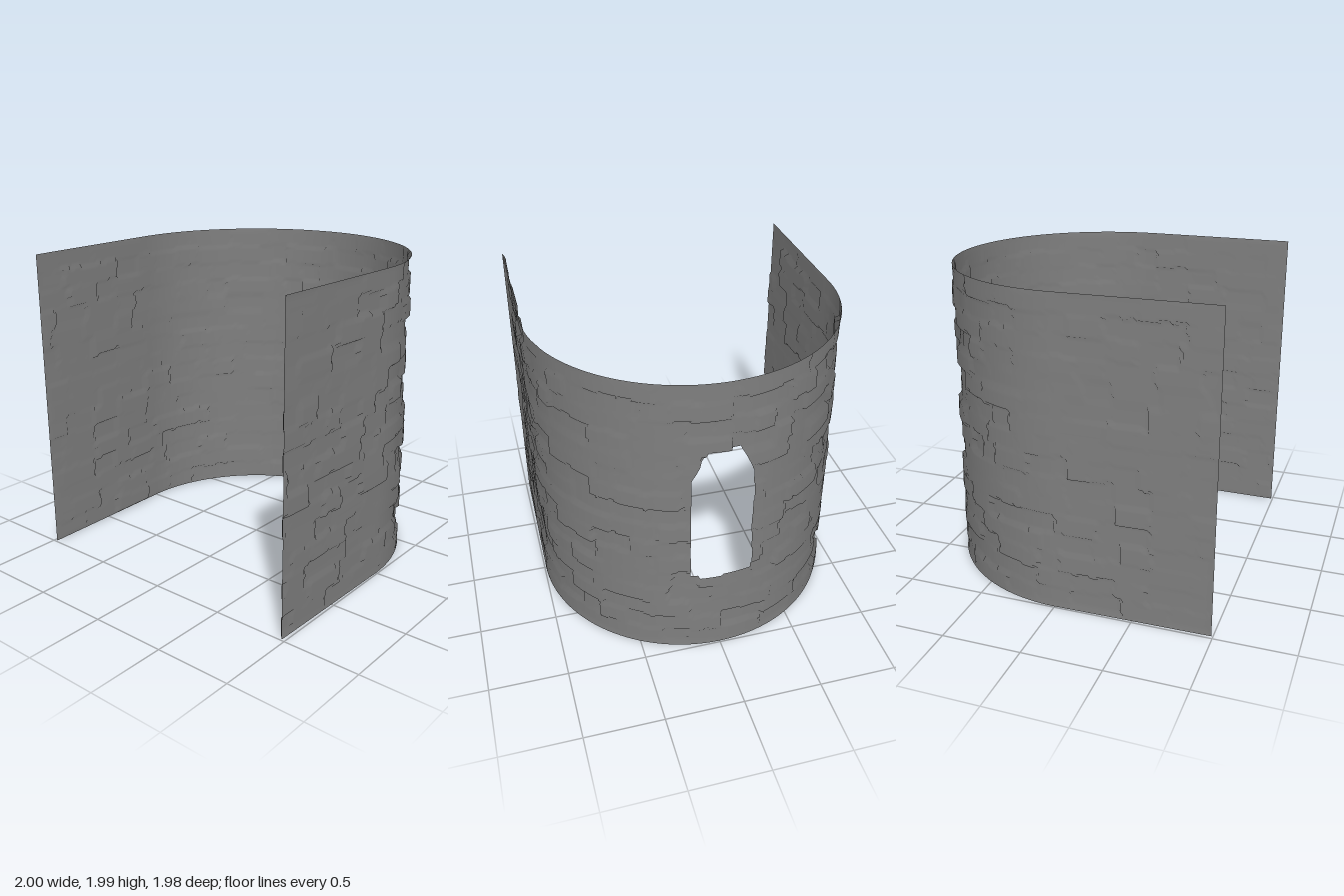
import * as THREE from 'three';

const R = 0.99, DEPTH = 0.99, HEIGHT = 1.99;
const ARC = R * Math.PI / 2, HALF = ARC + DEPTH; // half the unrolled wall length
const WIN = { half: 0.197, topHalf: 0.1, sill: 0.58, spring: 1.33, top: 1.53 };
const COURSES = 16;

// Small seeded generator
function seeded(seed) {
  return () => {
    seed = (seed * 1664525 + 1013904223) % 4294967296;
    return seed / 4294967296;
  };
}

// Grid lines through the given stops: start, [end, steps], ...
function gridLines(start, ...spans) {
  const lines = [start];
  for (const [end, n] of spans) {
    const a = lines[lines.length - 1];
    for (let i = 1; i <= n; i++) lines.push(a + (end - a) * i / n);
  }
  return lines;
}

// Courses of stones with random lengths, projections and tilts
function layStones() {
  const rnd = seeded(7), courses = [];
  for (let c = 0; c < COURSES; c++) {
    const row = [];
    let s = -HALF - rnd() * 0.2;
    while (s < HALF) {
      const width = 0.13 + rnd() * 0.2;
      row.push({ start: s, end: s + width, out: -0.008 + rnd() * 0.038, tilt: (rnd() - 0.5) * 0.02, lift: (rnd() - 0.5) * 0.01 });
      s += width;
    }
    courses.push(row);
  }
  return courses;
}

// How far the stone face stands in from the wall line; fades out at the rims
function relief(courses, s, y) {
  const wobble = 0.006 * Math.sin(s * 17) + 0.004 * Math.sin(s * 41 + 1);
  const c = THREE.MathUtils.clamp(Math.floor((y + wobble) / HEIGHT * COURSES), 0, COURSES - 1);
  const sj = s + 0.006 * Math.sin(y * 60 + c);
  const stone = courses[c].find(k => sj < k.end) || courses[c][courses[c].length - 1];
  const u = (sj - stone.start) / (stone.end - stone.start) - 0.5;
  const v = y / HEIGHT * COURSES - c - 0.5;
  const rim = Math.min(y, HEIGHT - y, HALF - Math.abs(s));
  return (stone.out + stone.tilt * u + stone.lift * v) * THREE.MathUtils.smoothstep(rim, 0, 0.025);
}

// Point on the U-shaped plan: half circle at the back, straight sides
function wallPoint(s, inset, y) {
  const side = Math.sign(s) || 1, a = Math.abs(s);
  if (a <= ARC) {
    const t = a / R, r = R - inset;
    return new THREE.Vector3(side * r * Math.sin(t), y, -r * Math.cos(t));
  }
  const z = a - ARC;
  return new THREE.Vector3(side * (R - inset - 0.013 * z / DEPTH), y, z);
}

// Inward normal of the plain wall
function wallNormal(s) {
  const t = THREE.MathUtils.clamp(s, -ARC, ARC) / R;
  return new THREE.Vector3(-Math.sin(t), 0, Math.cos(t));
}

// Window opening with clipped upper corners
function inWindow(s, y) {
  const a = Math.abs(s);
  if (a > WIN.half || y < WIN.sill || y > WIN.top) return false;
  return y < WIN.spring ||
    (a - WIN.topHalf) / (WIN.half - WIN.topHalf) + (y - WIN.spring) / (WIN.top - WIN.spring) < 1;
}

function wallGeometry() {
  const courses = layStones();
  const ss = gridLines(-HALF, [-WIN.half, 150], [-WIN.topHalf, 8], [WIN.topHalf, 12], [WIN.half, 8], [HALF, 150]);
  const ys = gridLines(0, [WIN.sill, 38], [WIN.spring, 48], [WIN.top, 8], [HEIGHT, 30]);
  const pos = [], index = [], nx = ss.length;
  for (const y of ys) for (const s of ss) pos.push(...wallPoint(s, relief(courses, s, y), y));

  const addTriangle = (...corners) => {
    let s = 0, y = 0;
    for (const [i, j] of corners) { s += ss[i] / 3; y += ys[j] / 3; }
    if (!inWindow(s, y)) index.push(...corners.map(([i, j]) => j * nx + i));
  };
  for (let j = 0; j < ys.length - 1; j++) {
    for (let i = 0; i < nx - 1; i++) {
      const a = [i, j], b = [i + 1, j], c = [i + 1, j + 1], d = [i, j + 1];
      // Diagonals follow the clipped corners on each side
      if (ss[i] + ss[i + 1] < 0) { addTriangle(a, b, c); addTriangle(a, c, d); }
      else { addTriangle(a, b, d); addTriangle(b, c, d); }
    }
  }
  const geo = new THREE.BufferGeometry();
  geo.setAttribute('position', new THREE.Float32BufferAttribute(pos, 3));
  geo.setIndex(index);
  geo.computeVertexNormals();

  // Soft shading: mostly the plain wall's normal, with a hint of each stone
  const normals = geo.attributes.normal, n = new THREE.Vector3();
  for (let k = 0; k < normals.count; k++) {
    n.fromBufferAttribute(normals, k).lerp(wallNormal(ss[k % nx]), 0.88).normalize();
    normals.setXYZ(k, n.x, n.y, n.z);
  }
  return geo;
}

export function createModel() {
  const group = new THREE.Group();
  group.name = 'towerWall';
  const material = new THREE.MeshStandardMaterial({ color: 0x7f7f7f, side: THREE.DoubleSide });
  const wall = new THREE.Mesh(wallGeometry(), material);
  wall.name = 'stoneWallWithWindow';
  group.add(wall);
  return group;
}
